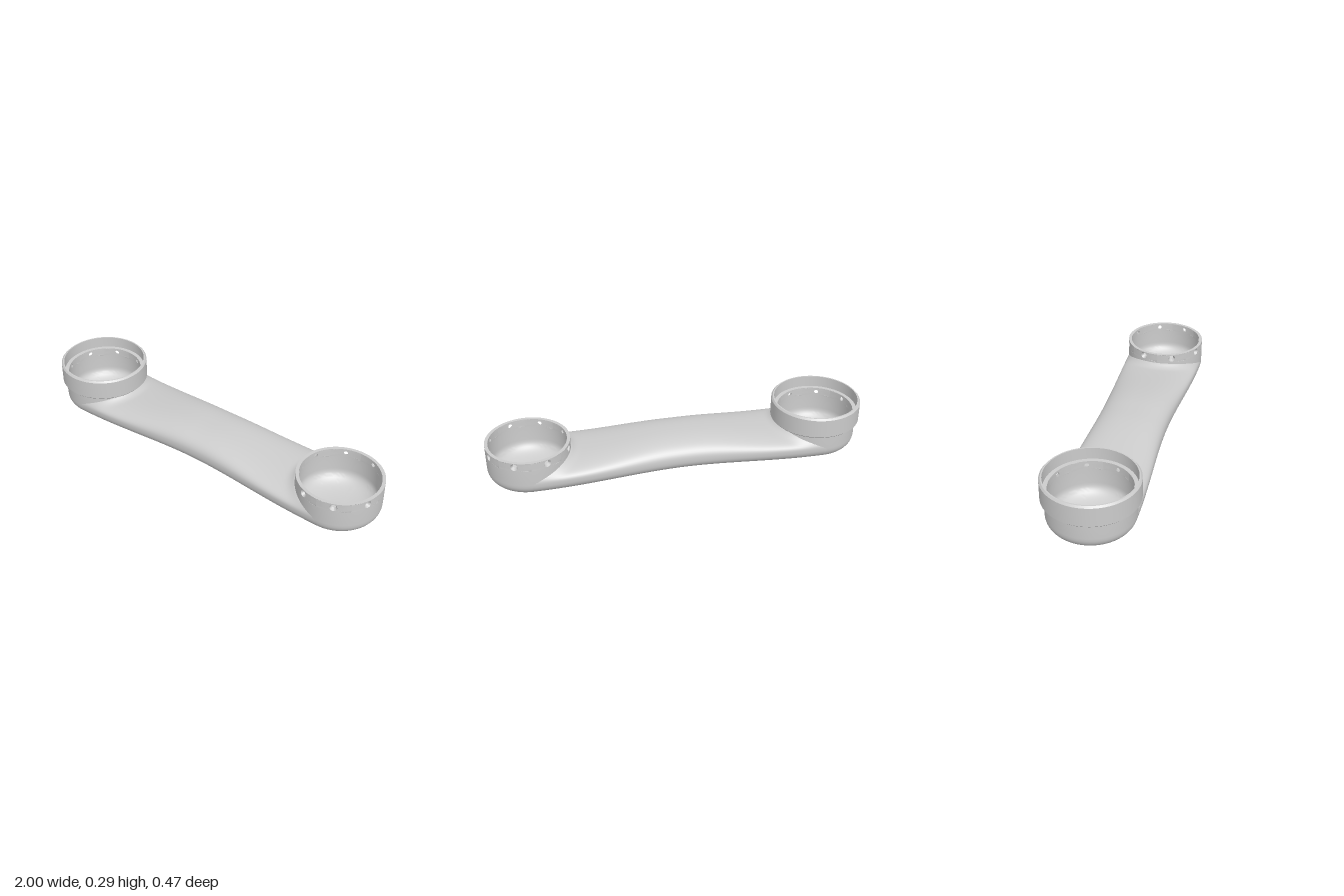
import * as THREE from 'three';
import { toCreasedNormals } from 'three/addons/utils/BufferGeometryUtils.js';

const LEFT_X = 0.782, RIGHT_X = -0.763; // cup axes
const R_OUT = 0.218, R_IN = 0.201;      // cup wall
const RIM = 0.235, BAND = 0.189;        // top of cup, bottom of the drilled band
const POW = 2.4;                        // roundness of bowls and arm

const mat = new THREE.MeshStandardMaterial({ color: 0xcccccc });
const smooth = THREE.MathUtils.smoothstep;
const lerp = THREE.MathUtils.lerp;

function mesh(name, geometry) {
  const m = new THREE.Mesh(geometry, mat);
  m.name = name;
  return m;
}

function lathe(name, pts) {
  const g = new THREE.LatheGeometry(pts.map(p => new THREE.Vector2(...p)), 96);
  return mesh(name, toCreasedNormals(g, 0.5));
}

// Quads over a rows x cols grid of points, closed around the columns
function closedGrid(rows, cols, point, flip) {
  const pos = [], idx = [];
  for (let i = 0; i < rows; i++) for (let j = 0; j < cols; j++) pos.push(...point(i, j));
  for (let i = 0; i < rows - 1; i++) for (let j = 0; j < cols; j++) {
    const k = (j + 1) % cols;
    const a = i * cols + j, b = a + cols, c = i * cols + k, d = c + cols;
    if (flip) idx.push(a, c, b, b, c, d);
    else idx.push(a, b, c, b, d, c);
  }
  const g = new THREE.BufferGeometry();
  g.setAttribute('position', new THREE.Float32BufferAttribute(pos, 3));
  g.setIndex(idx);
  return g;
}

// Quarter superellipse bowl, from the centre of the floor to the wall
function bowl(radius, floor, shoulder) {
  const pts = [];
  for (let i = 0; i <= 16; i++) {
    const a = i / 16 * Math.PI / 2;
    pts.push([i ? radius * Math.sin(a) ** (2 / POW) : 0,
      shoulder - (shoulder - floor) * Math.max(0, Math.cos(a)) ** (2 / POW)]);
  }
  return pts;
}

// One eighth of the wall band with a countersunk screw hole through it
function drilledCell(angle) {
  const hw = Math.PI / 8, hh = (RIM - BAND) / 2, cy = (RIM + BAND) / 2;
  const edge = [];
  for (let i = 0; i < 4; i++) edge.push([1, -1 + i / 2]);
  for (let i = 0; i < 12; i++) edge.push([1 - i / 6, 1]);
  for (let i = 0; i < 4; i++) edge.push([-1, 1 - i / 2]);
  for (let i = 0; i < 12; i++) edge.push([-1 + i / 6, -1]);
  // rows: [wall radius, hole radius, blend from hole to cell edge]
  const rows = [];
  for (const f of [1, 0.66, 0.33, 0]) rows.push([R_OUT, 0.019, f]);
  for (const f of [0, 0.33, 0.66, 1]) rows.push([R_IN, 0.011, f]);
  return closedGrid(rows.length, edge.length, (i, j) => {
    const [r, hole, f] = rows[i], [u, v] = edge[j];
    const t = Math.atan2(v, u);
    const a = angle + lerp(hole * Math.cos(t) / r, u * hw, f);
    const y = cy + lerp(hole * Math.sin(t), v * hh, f);
    return [r * Math.sin(a), y, r * Math.cos(a)];
  }, true);
}

function cup(name, x) {
  const g = new THREE.Group();
  g.name = name;
  g.position.x = x;
  g.add(lathe('cupOuterShell', [...bowl(R_OUT, 0.003, 0.103), [R_OUT, BAND]]));
  g.add(lathe('cupInnerShell', [[R_IN, BAND], ...bowl(R_IN, 0.025, 0.11).reverse()]));
  g.add(lathe('cupRim', [[R_OUT, RIM], [R_IN, RIM]]));
  for (let i = 0; i < 8; i++) {
    const cell = drilledCell((i + 0.5) * Math.PI / 4);
    g.add(mesh('screwHoleBand', toCreasedNormals(cell, 0.5)));
  }
  return g;
}

// Arched arm; its top stops at the cup walls, its belly runs on beneath the cups
function arm() {
  const rows = 61, cols = 64, reach = 0.212;
  const g = closedGrid(rows, cols, (i, j) => {
    const th = j / cols * Math.PI * 2, c = Math.cos(th), s = Math.sin(th);
    const zc = Math.sign(c) * Math.abs(c) ** (2 / POW);
    const ys = Math.sign(s) * Math.abs(s) ** (2 / POW);
    const inset = s > 0 ? Math.sqrt(Math.max(0, reach ** 2 - (R_OUT * zc) ** 2)) : 0;
    // rows gather towards both ends
    const t0 = i / (rows - 1), t = lerp(t0, smooth(t0, 0, 1), 0.6);
    const x = lerp(RIGHT_X + inset, LEFT_X - inset, t);
    const u = Math.abs(x);
    const w = lerp(0.186, R_OUT, smooth(u, 0, 0.77));
    const mid = lerp(0.113, 0.103, smooth(u, 0, 0.6));
    const top = lerp(0.203, 0.16, smooth(u, 0.05, 0.6));
    const bottom = lerp(0.025, 0.003, smooth(u, 0, 0.7));
    const z = w * zc;
    let y = mid + ys * (s > 0 ? top - mid : mid - bottom);
    // small fillet against the cup wall
    if (s > 0) {
      const d = Math.hypot(u - (x > 0 ? LEFT_X : -RIGHT_X), z) - R_OUT;
      y += 0.022 * s * Math.min(1, Math.max(0, 1 - d / 0.05)) ** 2;
    }
    return [x, y, z];
  });
  g.computeVertexNormals();
  return mesh('arm', g);
}

export function createModel() {
  const model = new THREE.Group();
  model.name = 'armLink';
  model.add(arm(), cup('leftCup', LEFT_X), cup('rightCup', RIGHT_X));

  // Chamfered coupling collar around the right cup
  const collar = lathe('couplingCollar', [
    [0.217, 0.18], [0.229, 0.18], [0.237, 0.188], [0.237, 0.287],
    [0.229, 0.296], [0.222, 0.296], [0.222, RIM], [0.217, RIM],
  ]);
  collar.position.x = RIGHT_X;
  model.add(collar);
  return model;
}
